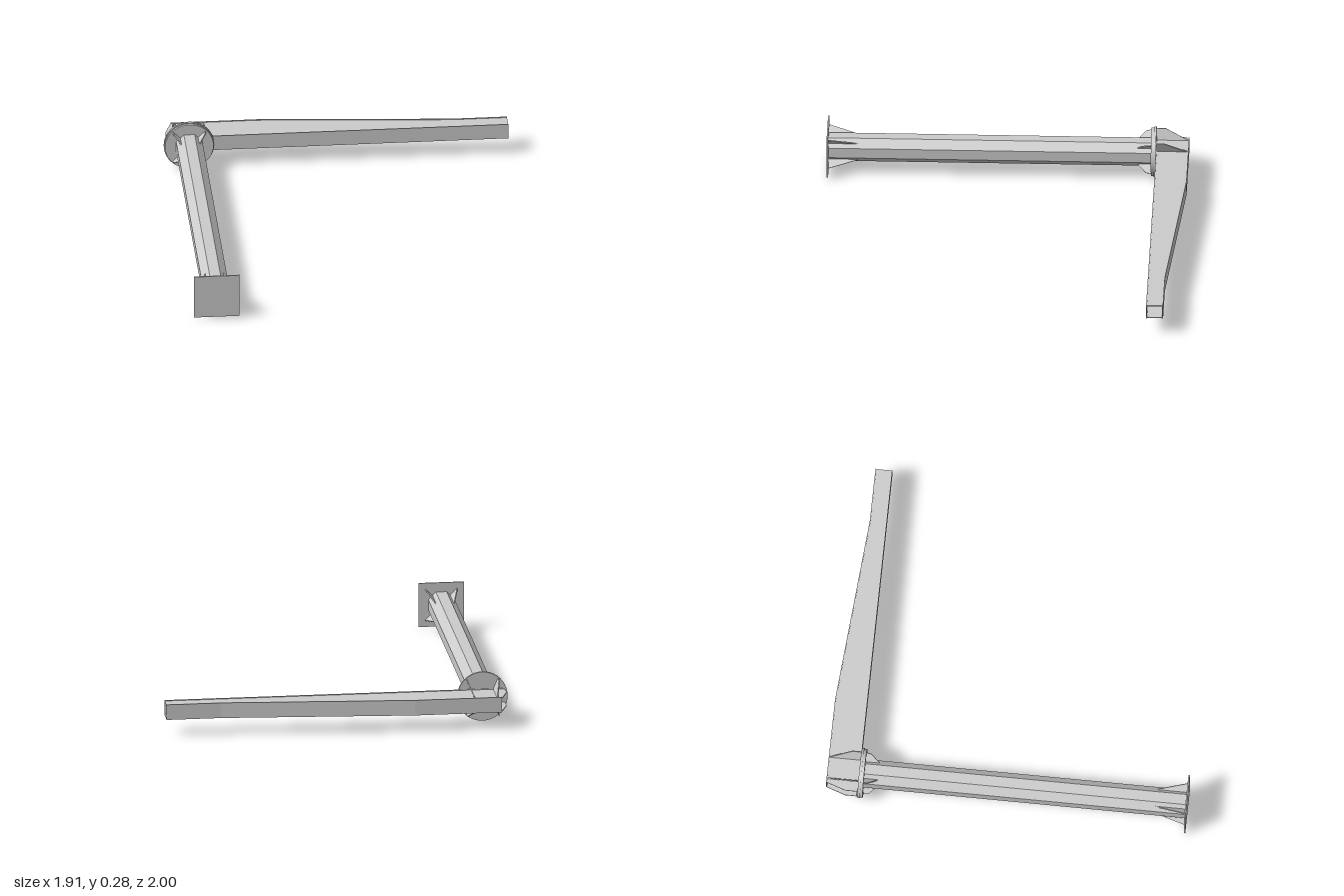
import * as THREE from 'three';

const CX = -0.818, CY = 0.141; // column axis, running along z
const mat = new THREE.MeshStandardMaterial({ color: 0xcccccc, side: THREE.DoubleSide });

export function createModel() {
  const model = new THREE.Group();

  const add = (name, geometry, x = 0, y = 0, z = 0, parent = model) => {
    const mesh = new THREE.Mesh(geometry, mat);
    mesh.name = name;
    mesh.position.set(x, y, z);
    parent.add(mesh);
    return mesh;
  };
  const shapeOf = (pts) => new THREE.Shape(pts.map(([x, y]) => new THREE.Vector2(x, y)));
  const extrude = (pts, depth) =>
    new THREE.ExtrudeGeometry(shapeOf(pts), { depth, bevelEnabled: false });

  // Horizontal plate from an x-z outline, between two heights
  const plate = (name, pts, y0, y1) =>
    add(name, extrude(pts, y1 - y0).rotateX(Math.PI / 2), 0, y1, 0);

  // Gusset from a (distance, z) outline, standing on the column axis at an angle
  const gusset = (name, pts, angle, x = CX, y = CY) => {
    const t = 0.006;
    const g = extrude(pts, t).translate(0, 0, -t / 2).rotateX(Math.PI / 2);
    add(name, g.rotateZ(angle), x, y, 0);
  };

  // Octagonal column with flats facing the axes
  const column = new THREE.CylinderGeometry(0.0785, 0.0785, 1.79, 8, 1, false, Math.PI / 8)
    .toNonIndexed();
  column.computeVertexNormals();
  add('column', column.rotateX(Math.PI / 2), CX, CY, 0.1);

  // Square foot plate
  add('basePlate', new THREE.BoxGeometry(0.252, 0.252, 0.008), CX, CY, 0.996);

  // Pair of round flanges
  const disc = (name, r, z0, z1) =>
    add(name, new THREE.CylinderGeometry(r, r, z1 - z0, 40).rotateX(Math.PI / 2), CX, CY, (z0 + z1) / 2);
  disc('columnFlange', 0.135, -0.807, -0.793);
  disc('boomFlange', 0.14, -0.821, -0.807);

  // Diagonal gussets at both ends of the column
  for (let i = 0; i < 4; i++) {
    const a = Math.PI / 4 + i * Math.PI / 2;
    gusset('baseGusset', [[0.07, 0.815], [0.127, 0.994], [0.07, 0.994]], a);
    gusset('topGusset', [[0.07, -0.715], [0.122, -0.765], [0.127, -0.795], [0.07, -0.795]], a);
  }

  // Hollow tapered boom: two side walls with inset top and bottom plates, open ends
  const front = -0.821, wall = 0.005;
  const back = [[-0.905, -1], [-0.42, -1], [0.65, -0.915], [0.955, -0.915]];
  const outline = [[-0.943, front], [-0.943, -0.89], ...back, [0.955, front]];
  plate('boomTop', outline, 0.176, 0.181);
  plate('boomBottom', outline, 0.101, 0.106);
  plate('boomFrontWall', [[-0.943, front], [0.955, front], [0.955, front - wall], [-0.943, front - wall]], 0.098, 0.185);
  plate('boomBackWall', [...back, ...back.map(([x, z]) => [x, z + wall]).reverse()], 0.098, 0.185);

  // Slanted gussets between the boom and its flange, above and below
  for (const sx of [-1, 1]) for (const sy of [-1, 1]) {
    const angle = Math.atan2(sy * 0.062, sx * 0.026);
    gusset('boomGusset',
      [[0, -1], [0.067, -0.87], [0.067, -0.821], [0, -0.821]],
      angle, CX + sx * 0.062, CY + sy * 0.038);
  }
  return model;
}
